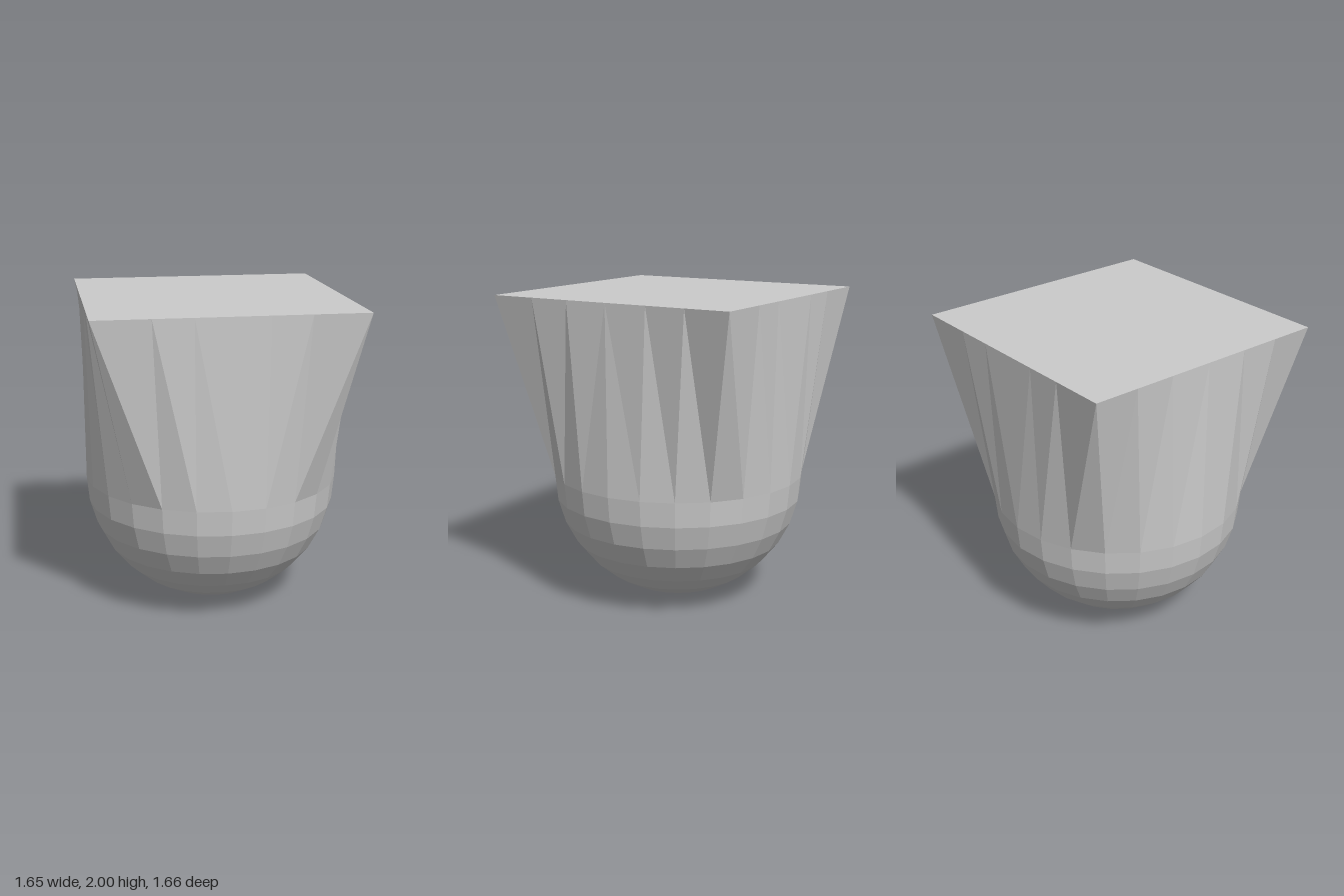
import * as THREE from 'three';

const R = 0.82;           // radius of the dome and of the ring where the walls start
const HX = 0.823, HZ = 0.83, TOP = 2;

export function createModel() {
  const group = new THREE.Group();
  const material = new THREE.MeshStandardMaterial({ color: 0xcccccc, flatShading: true });
  const add = (name, geometry) => {
    const mesh = new THREE.Mesh(geometry, material);
    mesh.name = name;
    group.add(mesh);
    return mesh;
  };

  // Rounded underside: lower half of a faceted sphere
  add('roundedBase', new THREE.SphereGeometry(R, 24, 8, 0, Math.PI * 2, Math.PI / 2, Math.PI / 2))
    .position.y = R;

  // Walls: one quadrant lofted from the ring to the square rim, then mirrored
  const rim = [[0, HZ], [0.225, HZ], [0.47, HZ], [HX, HZ], [HX, 0.54], [HX, 0.28], [HX, 0]];
  const ring = rim.map((_, i) => {
    const a = i * Math.PI / 12;
    return [R * Math.sin(a), R * Math.cos(a)];
  });
  const positions = [];
  for (const sx of [1, -1]) {
    for (const sz of [1, -1]) {
      const triangle = (...corners) => {
        if (sx * sz < 0) corners.reverse();
        for (const [[x, z], y] of corners) positions.push(x * sx, y, z * sz);
      };
      for (let i = 0; i < 6; i++) {
        triangle([ring[i], R], [ring[i + 1], R], [rim[i + 1], TOP]);
        triangle([ring[i], R], [rim[i + 1], TOP], [rim[i], TOP]);
      }
    }
  }
  const walls = new THREE.BufferGeometry();
  walls.setAttribute('position', new THREE.Float32BufferAttribute(positions, 3));
  walls.computeVertexNormals();
  add('taperedWalls', walls);

  // Flat square top
  add('squareTop', new THREE.PlaneGeometry(HX * 2, HZ * 2).rotateX(-Math.PI / 2)).position.y = TOP;

  return group;
}
